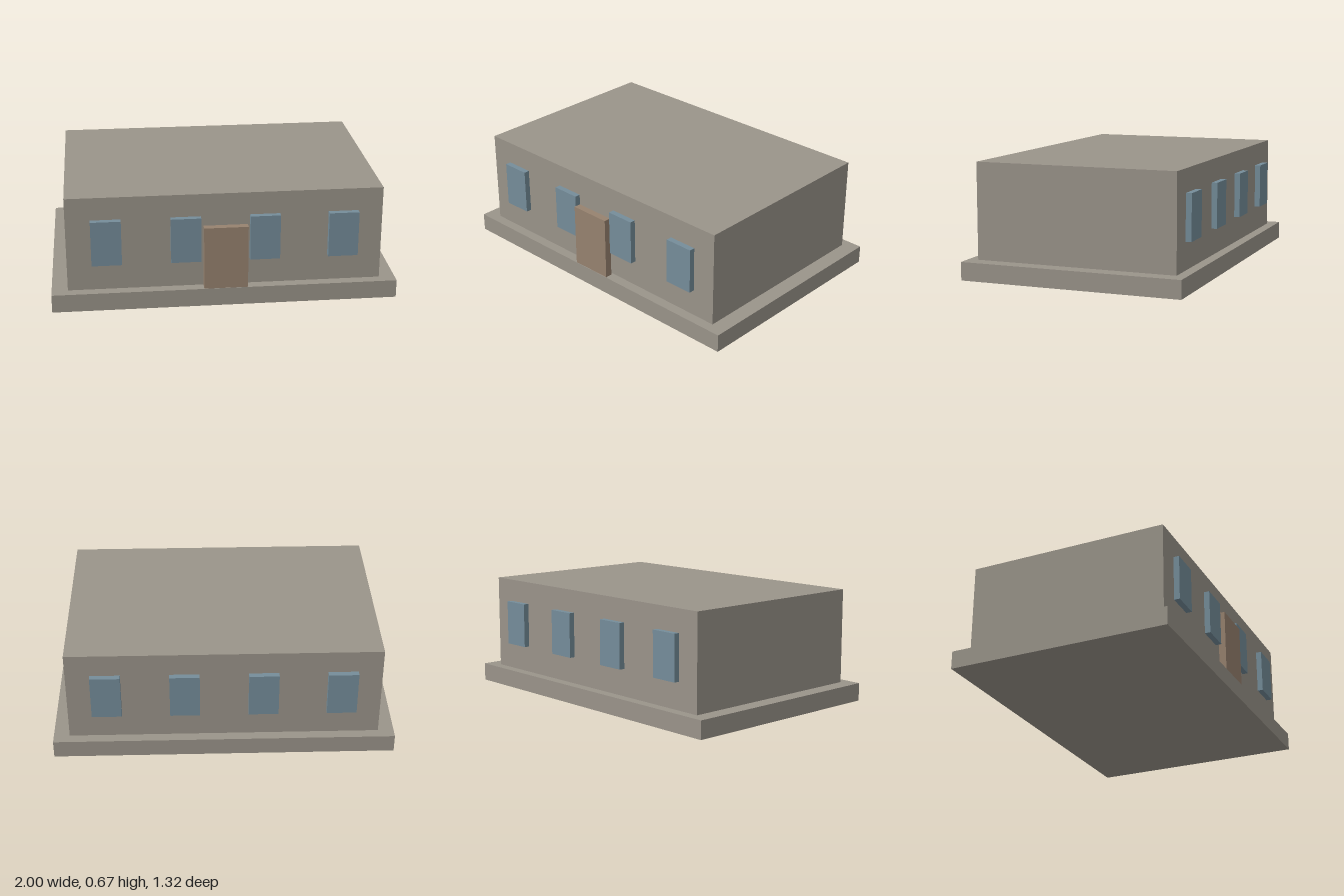
import * as THREE from 'three';

export function createModel() {
  const model = new THREE.Group();
  model.name = 'building';

  const material = (name, color) => {
    const m = new THREE.MeshStandardMaterial({ color });
    m.name = name;
    return m;
  };
  const stone = material('stone', 0x9a948a);
  const glass = material('glass', 0x758d9a);
  const wood = material('wood', 0x97826f);

  // Box standing on a given height
  const addBox = (name, mat, [w, h, d], [x, bottom, z]) => {
    const mesh = new THREE.Mesh(new THREE.BoxGeometry(w, h, d), mat);
    mesh.name = name;
    mesh.position.set(x, bottom + h / 2, z);
    model.add(mesh);
  };

  const baseHeight = 0.107;
  addBox('foundation', stone, [2, baseHeight, 1.32], [0, 0, 0]);
  addBox('walls', stone, [1.814, 0.563, 1.2], [0, baseHeight, 0]);

  // Door slab standing just in front of the wall
  addBox('door', wood, [0.253, 0.376, 0.042], [0, baseHeight, 0.636]);

  // Four windows on the front and four on the back
  for (const side of [1, -1]) {
    for (const x of [-0.68, -0.227, 0.227, 0.68]) {
      addBox(side > 0 ? 'frontWindow' : 'backWindow', glass,
        [0.173, 0.268, 0.034], [x, 0.268, side * 0.618]);
    }
  }

  return model;
}
